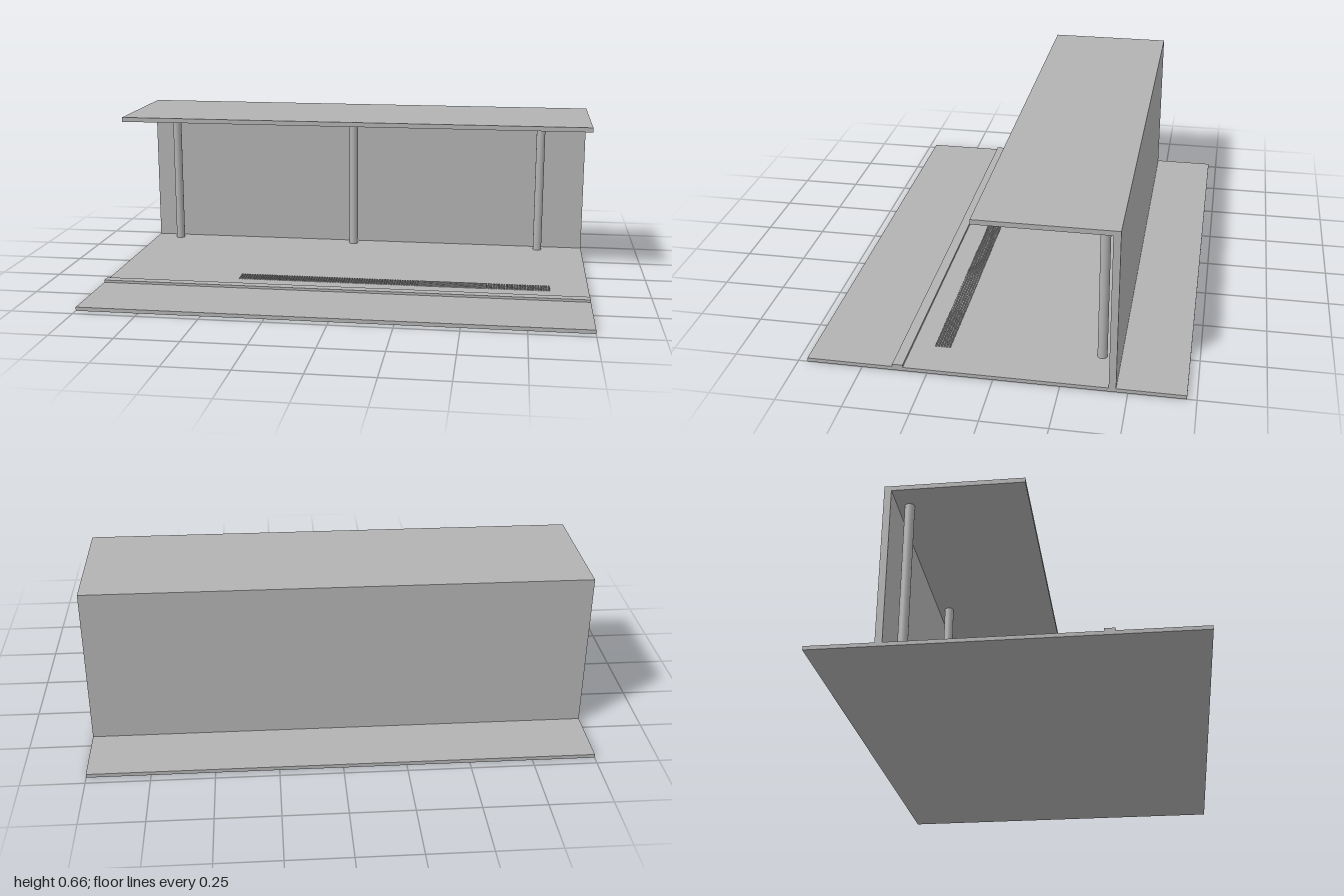
import * as THREE from 'three';
import { mergeGeometries } from 'three/addons/utils/BufferGeometryUtils.js';

export function createModel() {
  const group = new THREE.Group();
  const grey = new THREE.MeshStandardMaterial({ color: 0xb2b2b2 });
  grey.name = 'concrete grey';

  function add(name, geometry, x = 0, y = 0, z = 0) {
    const mesh = new THREE.Mesh(geometry, grey);
    mesh.name = name;
    mesh.position.set(x, y, z);
    group.add(mesh);
  }

  // Full-width slab given by its height and depth ranges
  function slab(name, y0, y1, z0, z1) {
    add(name, new THREE.BoxGeometry(2, y1 - y0, z1 - z0), 0, (y0 + y1) / 2, (z0 + z1) / 2);
  }

  const floor = 0.015, roofUnder = 0.643;
  slab('groundSlab', 0, floor, -0.714, 0.714);
  slab('kerb', floor, 0.025, 0.343, 0.383);
  slab('backWall', floor, roofUnder, -0.457, -0.43);
  slab('roof', roofUnder, 0.662, -0.457, 0.07);

  // Round posts holding the roof
  const postHeight = roofUnder - floor;
  const post = new THREE.CylinderGeometry(0.019, 0.019, postHeight, 32);
  for (const x of [-0.888, -0.052, 0.8]) add('post', post, x, floor + postHeight / 2, -0.384);

  // Tactile paving: two runs of small studs that overlap in the middle
  const pitch = 0.0107, rows = 6, studHeight = 0.005;
  const stud = new THREE.CylinderGeometry(0.0032, 0.004, studHeight, 8);
  function studRun(x0, x1) {
    const studs = [];
    for (let x = x0; x <= x1; x += pitch) {
      for (let r = 0; r < rows; r++) {
        studs.push(stud.clone().translate(x, floor + studHeight / 2, 0.2 + r * pitch));
      }
    }
    add('tactileStuds', mergeGeometries(studs));
  }
  studRun(-0.45, 0.58);
  studRun(0.315, 0.848);

  return group;
}
